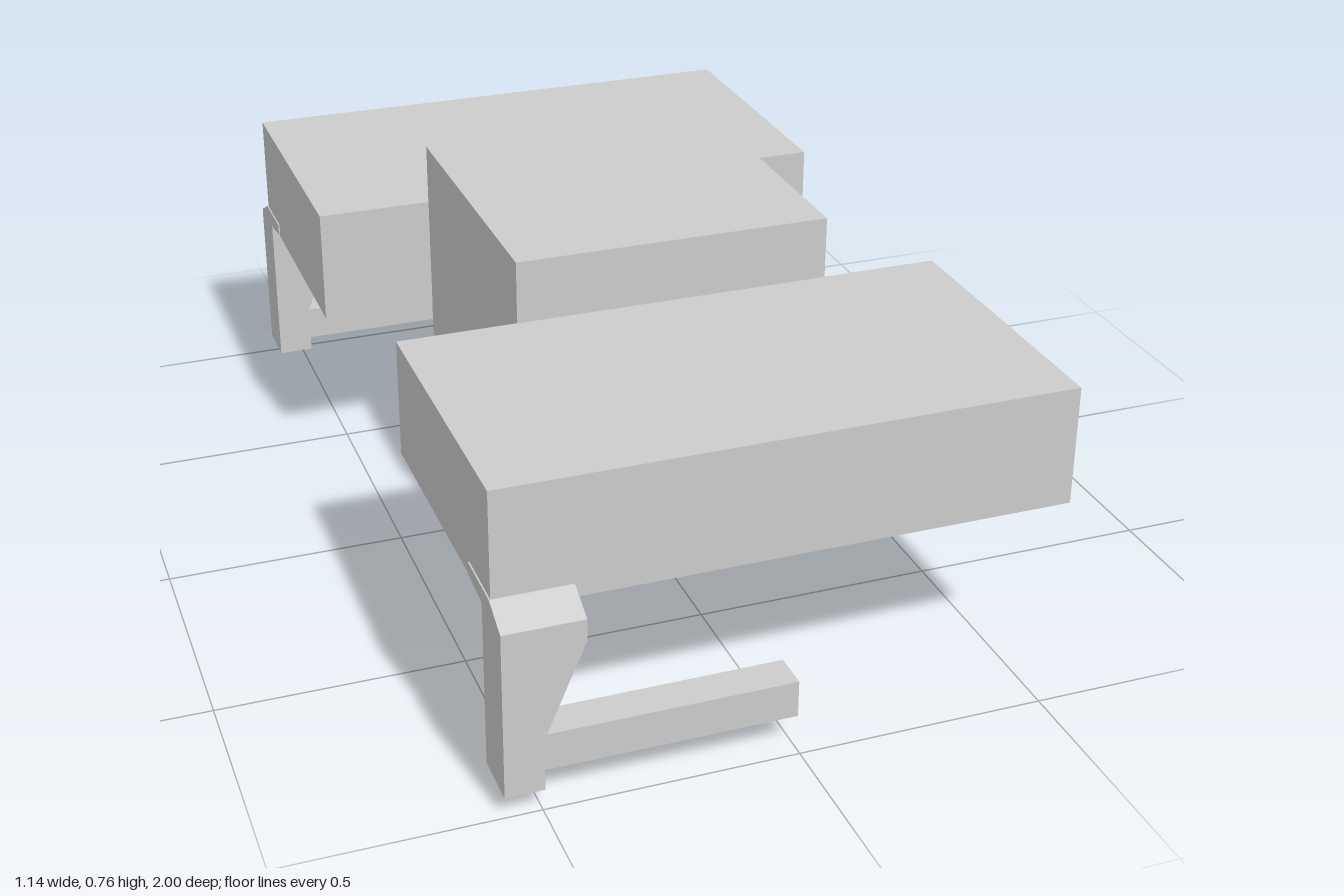
import * as THREE from 'three';

const material = new THREE.MeshStandardMaterial({ color: 0xcccccc, flatShading: true });

// Box given by its minimum and maximum corners
function block(name, [x0, y0, z0], [x1, y1, z1]) {
  const mesh = new THREE.Mesh(new THREE.BoxGeometry(x1 - x0, y1 - y0, z1 - z0), material);
  mesh.position.set((x0 + x1) / 2, (y0 + y1) / 2, (z0 + z1) / 2);
  mesh.name = name;
  return mesh;
}

// Straight-sided outline pushed out along its local z
function prism(name, points, depth) {
  const shape = new THREE.Shape(points.map(([x, y]) => new THREE.Vector2(x, y)));
  const geometry = new THREE.ExtrudeGeometry(shape, { depth, bevelEnabled: false });
  const mesh = new THREE.Mesh(geometry, material);
  mesh.name = name;
  return mesh;
}

// Side panel with its hanging bracket and bar; side is +1 (front) or -1 (back)
function createSide(side) {
  const group = new THREE.Group();
  group.name = side > 0 ? 'frontSide' : 'backSide';

  const panel = block('panel', [-0.568, 0.39, -0.304], [0.568, 0.633, 0.304]);
  panel.position.z = side * 0.629;

  // Upright, flaring towards the top
  const upright = prism('bracketUpright', [
    [-0.571, 0.043], [-0.495, 0.043], [-0.495, 0.15],
    [-0.414, 0.342], [-0.414, 0.385], [-0.571, 0.385],
  ], 0.112);
  upright.position.z = side > 0 ? 0.888 : -1;

  // Sloped cap and the flange let into the panel
  const cap = prism('bracketCap', [
    [1, 0.385], [0.935, 0.418], [0.805, 0.42], [0.805, 0.395], [0.888, 0.385],
  ].map(([z, y]) => [-side * z, y]), 0.157);
  cap.rotation.y = Math.PI / 2;
  cap.position.x = -0.571;

  const bar = block('bar', [-0.5, 0.068, -0.038], [0.004, 0.144, 0.038]);
  bar.position.z = side * 0.939;

  group.add(panel, upright, cap, bar);
  return group;
}

export function createModel() {
  const model = new THREE.Group();
  model.name = 'model';
  model.add(
    block('body', [-0.326, 0.313, -0.326], [0.326, 0.762, 0.326]),
    block('post', [-0.041, 0, -0.041], [0.041, 0.32, 0.041]),
    createSide(1),
    createSide(-1),
  );
  return model;
}
